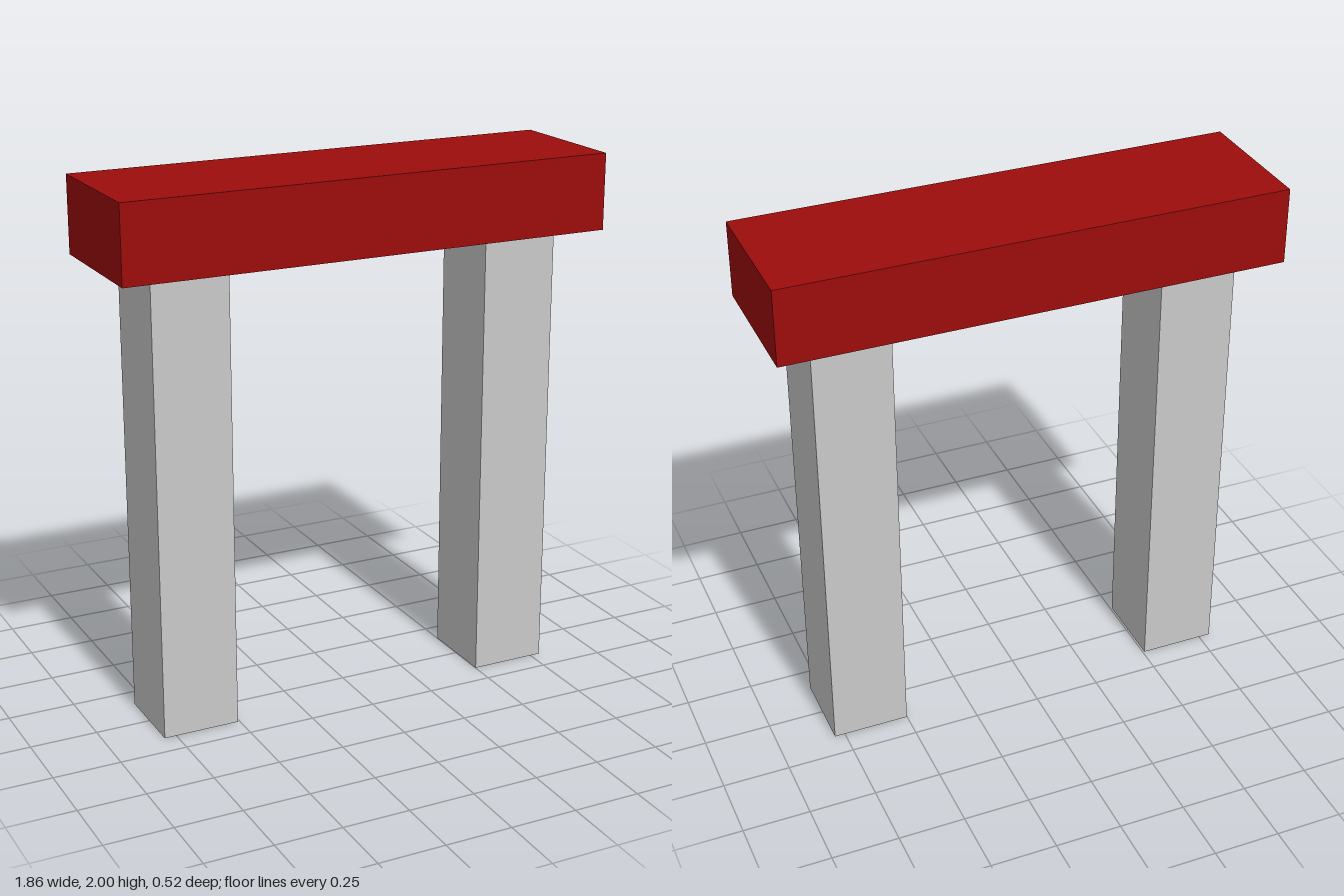
import * as THREE from 'three';

export function createModel() {
  const group = new THREE.Group();
  group.name = 'postAndBeam';

  const red = new THREE.MeshStandardMaterial({ color: 0x9c0d0d });
  red.name = 'red';
  const grey = new THREE.MeshStandardMaterial({ color: 0xc9c9c9 });
  grey.name = 'light grey';

  const beamBottom = 1.717;

  function addBox(name, material, width, height, depth, x, bottom) {
    const mesh = new THREE.Mesh(new THREE.BoxGeometry(width, height, depth), material);
    mesh.name = name;
    mesh.position.set(x, bottom + height / 2, 0);
    group.add(mesh);
  }

  // Beam across the top
  addBox('beam', red, 1.864, 2 - beamBottom, 0.518, 0, beamBottom);

  // Two square posts, up to the underside of the beam
  addBox('leftPost', grey, 0.288, beamBottom, 0.306, 0.645, 0);
  addBox('rightPost', grey, 0.288, beamBottom, 0.306, -0.651, 0);

  return group;
}
